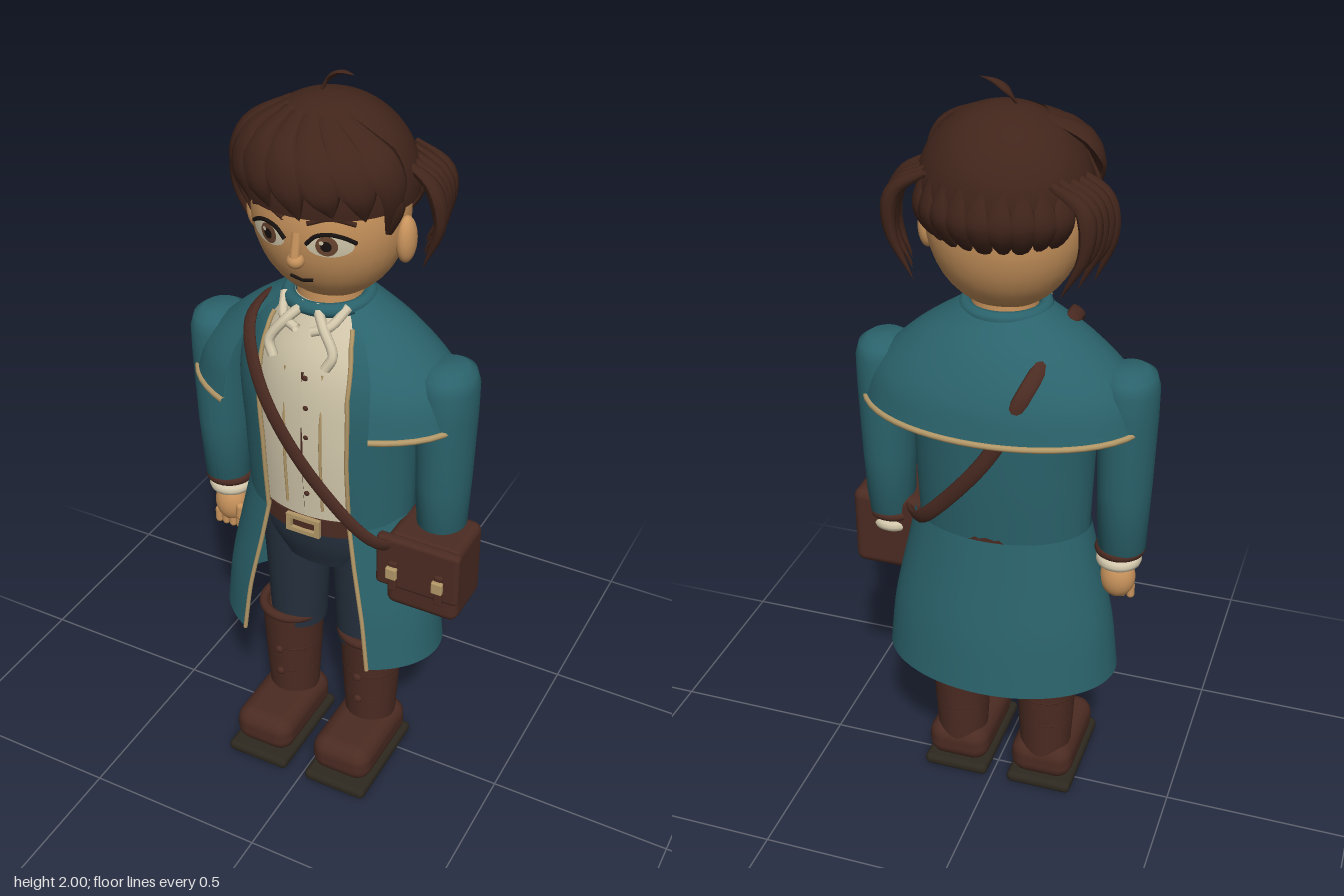
import * as THREE from 'three';
import { RoundedBoxGeometry } from 'three/addons/geometries/RoundedBoxGeometry.js';

const V = (x, y, z) => new THREE.Vector3(x, y, z);
const rad = THREE.MathUtils.degToRad;

export function createModel() {
  const mat = (name, color, side = THREE.FrontSide) => new THREE.MeshStandardMaterial({ name, color, side });
  const teal = mat('teal cloth', 0x2b636c, THREE.DoubleSide);
  const skin = mat('skin', 0xc8935c);
  const hair = mat('dark brown hair', 0x41251b, THREE.DoubleSide);
  const leather = mat('brown leather', 0x4b2b22);
  const cream = mat('cream linen', 0xd3c8ac, THREE.DoubleSide);
  const navy = mat('navy trousers', 0x25303d);
  const gold = mat('tan trim', 0xb39868);
  const sole = mat('dark sole', 0x2d281f);
  const black = mat('black', 0x17110f);
  const iris = mat('brown iris', 0x6a4630);

  const model = new THREE.Group();
  const body = new THREE.Group();
  body.name = 'figure';
  body.position.x = -0.017;
  model.add(body);

  const add = (name, geo, material, pos = [0, 0, 0], scale = [1, 1, 1], parent = body) => {
    const m = new THREE.Mesh(geo, material);
    m.name = name;
    m.position.set(...pos);
    m.scale.set(...scale);
    parent.add(m);
    return m;
  };
  const ball = (name, material, pos, scale) => add(name, new THREE.SphereGeometry(1, 32, 20), material, pos, scale);
  const box = (name, material, pos, size, r = 0.02) => add(name, new RoundedBoxGeometry(...size, 3, r), material, pos);
  const tube = (name, material, pts, r) =>
    add(name, new THREE.TubeGeometry(new THREE.CatmullRomCurve3(pts), 40, r, 8), material);

  // Surface from a rule; u cross v points outward
  const grid = (nu, nv, f) => {
    const pos = [], idx = [];
    for (let j = 0; j <= nv; j++) for (let i = 0; i <= nu; i++) pos.push(...f(i / nu, j / nv).toArray());
    for (let j = 0; j < nv; j++) for (let i = 0; i < nu; i++) {
      const a = j * (nu + 1) + i, c = a + nu + 1;
      idx.push(a, a + 1, c, a + 1, c + 1, c);
    }
    const g = new THREE.BufferGeometry();
    g.setAttribute('position', new THREE.Float32BufferAttribute(pos, 3));
    g.setIndex(idx);
    g.computeVertexNormals();
    return g;
  };

  // Garment shell: rows of [y, rx, rz, half opening at the front in degrees], bottom to top
  const shellRule = (rows) => {
    const size = new THREE.CatmullRomCurve3(rows.map(([y, rx, rz]) => V(rx, y, rz)));
    return (u, v) => {
      const s = size.getPoint(v), k = v * (rows.length - 1), i = Math.min(Math.floor(k), rows.length - 2);
      const open = rad(THREE.MathUtils.lerp(rows[i][3], rows[i + 1][3], k - i));
      const a = open + u * (2 * Math.PI - 2 * open);
      return V(s.x * Math.sin(a), s.y, s.z * Math.cos(a));
    };
  };
  const shell = (name, material, rows, pos) => {
    const f = shellRule(rows);
    add(name, grid(56, 20, f), material, pos);
    return f;
  };
  const line = (f, n = 24) => Array.from({ length: n + 1 }, (_, i) => f(i / n));

  // Trousers, shirt and belt
  shell('hips', navy, [[0.68, 0.15, 0.1, 0], [0.76, 0.19, 0.125, 0], [0.86, 0.19, 0.135, 0]]);
  shell('shirt', cream, [[0.83, 0.2, 0.145, 0], [1.1, 0.21, 0.16, 0], [1.3, 0.19, 0.148, 0], [1.46, 0.085, 0.085, 0]]);
  add('belt', new THREE.CylinderGeometry(1, 1, 0.05, 40), leather, [0, 0.845, 0], [0.205, 1, 0.152]);
  const frame = new THREE.Shape([[-0.048, -0.026], [0.048, -0.026], [0.048, 0.026], [-0.048, 0.026]].map(p => new THREE.Vector2(...p)));
  frame.holes.push(new THREE.Path([[-0.034, -0.014], [-0.034, 0.014], [0.034, 0.014], [0.034, -0.014]].map(p => new THREE.Vector2(...p))));
  add('beltBuckle', new THREE.ExtrudeGeometry(frame, { depth: 0.012, bevelEnabled: false }), gold, [0, 0.845, 0.15]);
  for (const x of [-0.05, 0, 0.05])
    tube('shirtSeam', x ? gold : leather, [V(x, 0.9, 0.146), V(x, 1.1, 0.157), V(x, 1.3, x ? 0.14 : 0.147)], 0.004);
  for (let i = 0; i < 5; i++) ball('shirtButton', leather, [0.012, 0.95 + i * 0.085, 0.158], [0.007, 0.007, 0.005]);

  // Coat: bodice, skirt and shoulder cape, each with trim
  const bodice = shell('coatBodice', teal, [[0.85, 0.228, 0.15, 31], [1.05, 0.235, 0.168, 30], [1.25, 0.24, 0.172, 30], [1.38, 0.19, 0.14, 36], [1.46, 0.1, 0.095, 50]]);
  const skirt = shell('coatSkirt', teal, [[0.425, 0.318, 0.212, 36], [0.58, 0.3, 0.198, 34], [0.74, 0.265, 0.175, 31], [0.87, 0.235, 0.157, 29]], [0, 0, -0.012]);
  const cape = shell('shoulderCape', teal, [[1.185, 0.365, 0.232, 33], [1.27, 0.335, 0.215, 35], [1.37, 0.24, 0.168, 42], [1.46, 0.11, 0.1, 52]]);
  for (const u of [0, 1]) {
    tube('bodiceTrim', gold, line(t => bodice(u, t * 0.85)), 0.006);
    tube('skirtTrim', gold, line(t => skirt(u, t).add(V(0, 0, -0.012))), 0.006);
  }
  tube('capeTrim', gold, line(t => cape(t, 0), 40), 0.008);
  add('coatCollar', new THREE.TorusGeometry(0.098, 0.018, 10, 40).rotateX(Math.PI / 2), teal, [0, 1.452, 0.008]);
  add('neck', new THREE.CylinderGeometry(0.08, 0.085, 0.14, 32), skin, [0, 1.46, 0]);

  for (const s of [-1, 1]) {
    // Cravat end
    tube('cravat', cream, [V(s * 0.015, 1.46, 0.1), V(s * 0.05, 1.425, 0.135), V(s * 0.085, 1.37, 0.155), V(s * 0.07, 1.335, 0.165)], 0.013);
    tube('cravatFold', cream, [V(s * 0.085, 1.46, 0.075), V(s * 0.06, 1.425, 0.125), V(s * 0.02, 1.41, 0.14)], 0.012);

    // Arm, cuff and hand
    const sleeve = [[0, 0.82], [0.062, 0.82], [0.069, 1.0], [0.075, 1.2], [0.075, 1.28], [0.066, 1.312], [0.045, 1.327], [0, 1.33]].map(p => new THREE.Vector2(...p));
    const arm = add('sleeve', new THREE.LatheGeometry(sleeve, 40), teal, [s * 0.316, 0, 0], [1, 1, 1.18]);
    const p = arm.geometry.attributes.position;
    for (let i = 0; i < p.count; i++) if (p.getY(i) < 0.9) p.setZ(i, p.getZ(i) * 0.85);
    arm.geometry.computeVertexNormals();
    const ring = (r, t) => new THREE.TorusGeometry(r, t, 10, 36).rotateX(Math.PI / 2);
    add('sleeveBand', ring(0.052, 0.014), leather, [s * 0.312, 0.815, 0]);
    add('shirtCuff', ring(0.042, 0.018), cream, [s * 0.31, 0.782, 0]);
    ball('palm', skin, [s * 0.308, 0.72, 0.005], [0.047, 0.06, 0.042]);
    for (let i = 0; i < 4; i++)
      add('finger', new THREE.CapsuleGeometry(0.011, 0.03, 4, 10), skin, [s * 0.308 - 0.033 + i * 0.022, 0.672, 0.022]);
    add('thumb', new THREE.CapsuleGeometry(0.012, 0.03, 4, 10), skin, [s * 0.268, 0.71, 0.03]);

    // Leg and boot
    const x = s * 0.123;
    add('trouserLeg', new THREE.CylinderGeometry(0.098, 0.078, 0.42, 32), navy, [s * 0.103, 0.61, 0]);
    add('bootShaft', new THREE.CylinderGeometry(0.088, 0.07, 0.32, 32), leather, [x, 0.27, 0]);
    add('bootRim', ring(0.083, 0.014), leather, [x, 0.43, 0]);
    for (const [y, r] of [[0.31, 0.076], [0.225, 0.071]]) {
      add('bootStrap', ring(r, 0.006), leather, [x, y, 0]);
      ball('bootStud', leather, [x, y, r + 0.012], [0.012, 0.012, 0.008]);
    }
    box('bootFoot', leather, [x, 0.085, 0.07], [0.176, 0.112, 0.285], 0.045);
    box('bootSole', sole, [x, 0.017, 0.077], [0.186, 0.034, 0.316], 0.015);
  }

  // Satchel with flap and buckles
  box('satchelBody', leather, [0.315, 0.758, 0.038], [0.2, 0.226, 0.165], 0.025);
  box('satchelFlap', leather, [0.312, 0.8, 0.128], [0.228, 0.155, 0.03], 0.012);
  for (const bx of [0.25, 0.376]) {
    box('satchelStrap', leather, [bx, 0.765, 0.146], [0.022, 0.09, 0.012], 0.004);
    box('satchelBuckle', gold, [bx, 0.78, 0.155], [0.03, 0.035, 0.014], 0.004);
  }
  // Shoulder strap, a closed flattened band
  const band = new THREE.CatmullRomCurve3([V(-0.15, 1.4, 0.13), V(-0.09, 1.26, 0.195), V(0.06, 1.02, 0.195), V(0.22, 0.86, 0.155),
    V(0.27, 0.84, 0.03), V(0.2, 0.87, -0.11), V(0.08, 1.0, -0.172), V(-0.03, 1.15, -0.195), V(-0.11, 1.32, -0.185), V(-0.155, 1.41, -0.03)], true);
  add('shoulderStrap', grid(90, 10, (u, v) => {
    const c = band.getPointAt(u), t = band.getTangentAt(u), a = v * Math.PI * 2;
    const out = V(c.x * 0.4, (c.y - 1.1) * 0.25, c.z), side = t.clone().cross(out).normalize(), n = side.clone().cross(t);
    return c.addScaledVector(side, 0.02 * Math.cos(a)).addScaledVector(n, 0.008 * Math.sin(a));
  }), leather);

  // Head, ears and nose
  const HY = 1.675, R = [0.192, 0.222, 0.172];
  ball('head', skin, [0, HY, 0], R);
  const onFace = (x, y, off) => V(x, y, R[2] * Math.sqrt(Math.max(0, 1 - (x / R[0]) ** 2 - ((y - HY) / R[1]) ** 2)) + off);
  const patch = (name, material, x, y, rx, ry, off) =>
    add(name, grid(4, 28, (u, v) => onFace(x + u * rx * Math.cos(v * 2 * Math.PI), y + u * ry * Math.sin(v * 2 * Math.PI), off)), material);
  const stroke = (name, material, pts, r) => tube(name, material, pts.map(([x, y]) => onFace(x, y, 0.002)), r);
  ball('noseTip', skin, [0, 1.607, 0.172], [0.021, 0.019, 0.02]);
  tube('noseBridge', skin, [V(0, 1.675, 0.162), V(0, 1.64, 0.17), V(0, 1.607, 0.178)], 0.013);
  stroke('mouth', black, [[-0.03, 1.55], [-0.012, 1.546], [0, 1.543], [0.012, 1.546], [0.03, 1.55]], 0.004);
  for (const s of [-1, 1]) {
    ball('ear', skin, [s * 0.196, 1.632, 0.004], [0.024, 0.058, 0.032]);
    patch('eyeWhite', cream, s * 0.078, 1.653, 0.05, 0.027, 0.003);
    patch('iris', iris, s * 0.074, 1.655, 0.024, 0.025, 0.005);
    patch('pupil', black, s * 0.074, 1.655, 0.012, 0.013, 0.007);
    patch('eyeGlint', cream, s * 0.074 - 0.009, 1.665, 0.005, 0.005, 0.009);
    stroke('upperLid', black, [[s * 0.027, 1.655], [s * 0.05, 1.677], [s * 0.08, 1.683], [s * 0.11, 1.675], [s * 0.132, 1.66]], 0.005);
    stroke('eyebrow', hair, [[s * 0.03, 1.705], [s * 0.08, 1.72], [s * 0.13, 1.705]], 0.006);
  }

  // Hair: a cap and tapered locks laid around it
  const C = V(0, 1.745, -0.003);
  add('hairCap', new THREE.SphereGeometry(1, 40, 20, 0, Math.PI * 2, 0, rad(96)), hair, C.toArray(), [0.209, 0.203, 0.196]);
  const on = (az, el, k) => V(0.209 * Math.cos(rad(el)) * Math.sin(rad(az)), 0.203 * Math.sin(rad(el)), 0.196 * Math.cos(rad(el)) * Math.cos(rad(az))).multiplyScalar(k).add(C);
  const lock = (name, pts, w, th) => {
    const curve = new THREE.CatmullRomCurve3(pts);
    add(name, grid(14, 8, (u, v) => {
      const c = curve.getPoint(u), t = curve.getTangent(u), a = v * Math.PI * 2;
      const f = u < 0.4 ? 0.4 + 1.5 * u : 1 - ((u - 0.4) / 0.6) ** 1.8;
      const side = t.clone().cross(c.clone().sub(C)).normalize(), n = side.clone().cross(t);
      return c.addScaledVector(side, w * f * Math.cos(a)).addScaledVector(n, th * f * Math.sin(a));
    }), hair);
  };
  for (let i = 0; i < 7; i++) {
    const az = -66 + i * 21;
    const end = i === 0 || i === 6 ? -28 : -4 - (i % 2) * 4;
    lock('fringeLock', [on(az - 20, 62, 0.98), on(az - 6, 34, 1.08), on(az + 4, 12, 1.09), on(az + 9, end, 1.0)], 0.052, 0.018);
  }
  for (const s of [-1, 1]) {
    lock('templeLock', [on(s * 62, 25, 1), on(s * 70, 0, 1.04), on(s * 72, -35, 1.0)], 0.022, 0.01);
    for (let i = 0; i < 5; i++) {
      const z = -0.015 - i * 0.03;
      lock('sideTuft', [V(s * (0.18 - i * 0.008), 1.81, z), V(s * (0.245 - i * 0.005), 1.76, z - 0.005), V(s * (0.265 - i * 0.008), 1.67, z - 0.01), V(s * (0.225 - i * 0.012), 1.55 + (i % 2) * 0.025, z - 0.012)], 0.024, 0.02);
    }
  }
  for (let i = 0; i < 9; i++) {
    const az = 124 + i * 14;
    lock('napeLock', [on(az, 15, 0.98), on(az, -10, 1.01), on(az + 3, -48 + (i % 2) * 10, 0.95)], 0.034, 0.014);
  }
  lock('strayTuft', [V(-0.03, 1.935, 0.0), V(-0.01, 1.972, -0.012), V(0.02, 1.991, -0.008), V(0.065, 1.996, 0.008)], 0.016, 0.006);

  return model;
}
